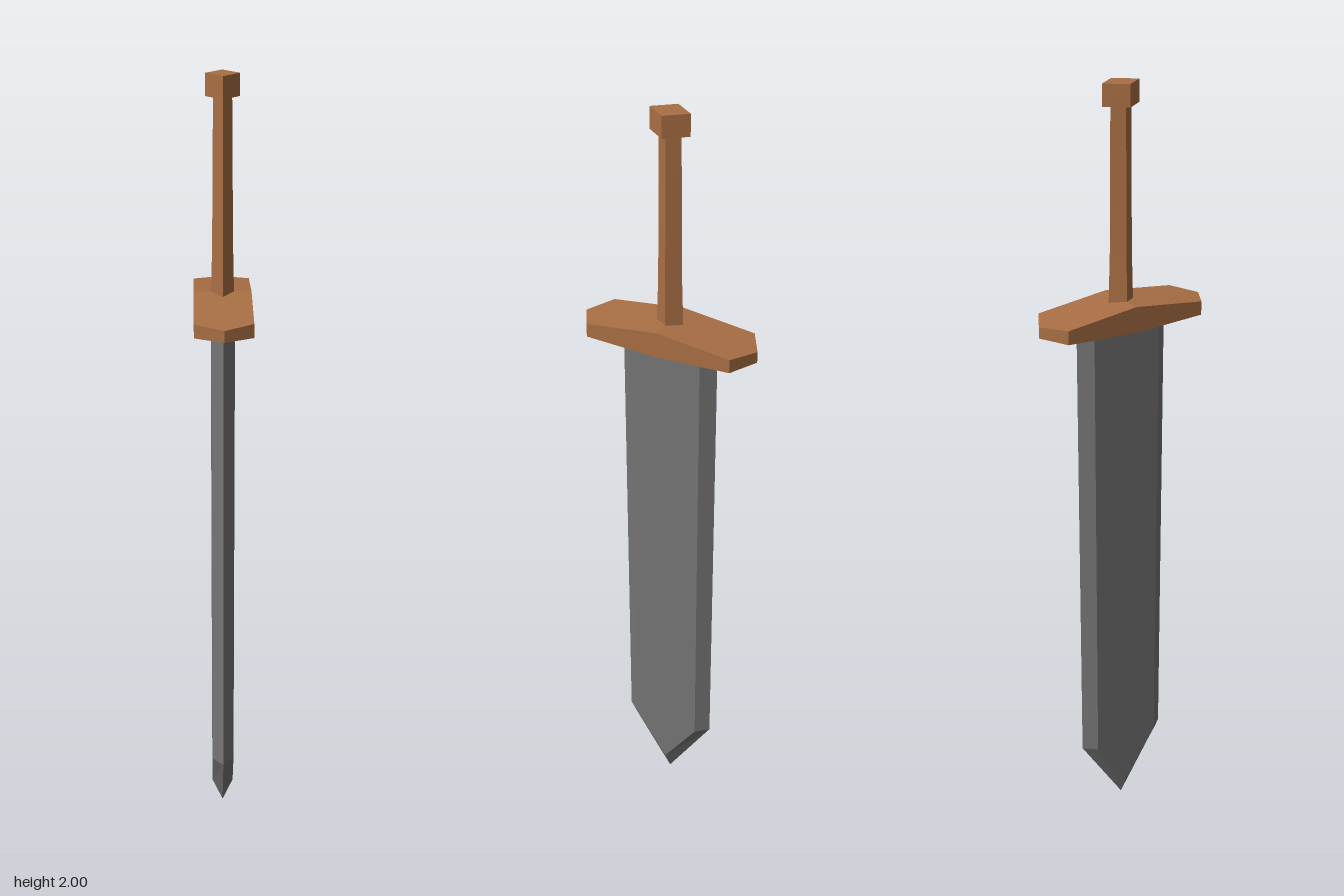
import * as THREE from 'three';

// Skin a stack of rings (bottom to top, counterclockwise from above) and cap both ends.
function loft(rings) {
  const pos = [];
  const tri = (a, b, c) => {
    const t = new THREE.Triangle(a, b, c);
    if (t.getArea() > 1e-9) for (const p of [a, b, c]) pos.push(p.x, p.y, p.z);
  };
  const middle = (ring) => ring.reduce((s, p) => s.add(p), new THREE.Vector3()).divideScalar(ring.length);
  const n = rings[0].length;
  const low = rings[0], high = rings[rings.length - 1];
  const lowMid = middle(low), highMid = middle(high);
  // Guard caps are ridged, so the cap centre sits on the ridge line
  lowMid.y = Math.min(...low.map((p) => p.y));
  highMid.y = Math.max(...high.map((p) => p.y));
  for (let i = 0; i < n; i++) {
    const j = (i + 1) % n;
    for (let r = 0; r < rings.length - 1; r++) {
      const a = rings[r], b = rings[r + 1];
      tri(a[i], a[j], b[j]);
      tri(a[i], b[j], b[i]);
    }
    tri(lowMid, low[j], low[i]);
    tri(highMid, high[i], high[j]);
  }
  const geo = new THREE.BufferGeometry();
  geo.setAttribute('position', new THREE.Float32BufferAttribute(pos, 3));
  geo.computeVertexNormals();
  return geo;
}

const v = (x, y, z) => new THREE.Vector3(x, y, z);
const diamond = (y, x, z) => [v(0, y, z), v(x, y, 0), v(0, y, -z), v(-x, y, 0)];

export function createModel() {
  const wood = new THREE.MeshStandardMaterial({ color: 0xa96f44, flatShading: true });
  wood.name = 'wood';
  const steel = new THREE.MeshStandardMaterial({ color: 0x757575, flatShading: true });
  steel.name = 'steel';

  const sword = new THREE.Group();
  sword.name = 'sword';
  const add = (name, rings, material) => {
    const mesh = new THREE.Mesh(loft(rings), material);
    mesh.name = name;
    sword.add(mesh);
  };

  // Blade: flat sides with bevelled edges, drawn in to a point at the bottom
  const T = 0.028, EDGE = 0.125, FLAT = 0.092;
  const bladeRing = (y) => [
    v(0, y, EDGE), v(T, y, FLAT), v(T, y, -FLAT),
    v(0, y, -EDGE), v(-T, y, -FLAT), v(-T, y, FLAT),
  ];
  const tip = v(0, 0, 0), right = v(T, 0.065, 0), left = v(-T, 0.065, 0);
  add('blade', [[tip, right, right, tip, left, left], bladeRing(0.2), bladeRing(1.435)], steel);

  // Crossguard: long hexagon, thickest in the middle
  const END = 0.227, CORNER = 0.188, W = 0.07;
  const guardRing = (midY, endY) =>
    [[0, END], [W, CORNER], [W, 0], [W, -CORNER], [0, -END], [-W, -CORNER], [-W, 0], [-W, CORNER]]
      .map(([x, z]) => v(x, midY + (endY - midY) * Math.abs(z) / END, z));
  add('crossguard', [guardRing(1.42, 1.43), guardRing(1.485, 1.458)], wood);

  // Grip and pommel: diamond sections
  add('grip', [diamond(1.47, 0.028, 0.035), diamond(1.6, 0.025, 0.031), diamond(1.96, 0.022, 0.028)], wood);
  add('pommel', [diamond(1.948, 0.04, 0.05), diamond(2, 0.04, 0.05)], wood);

  return sword;
}
